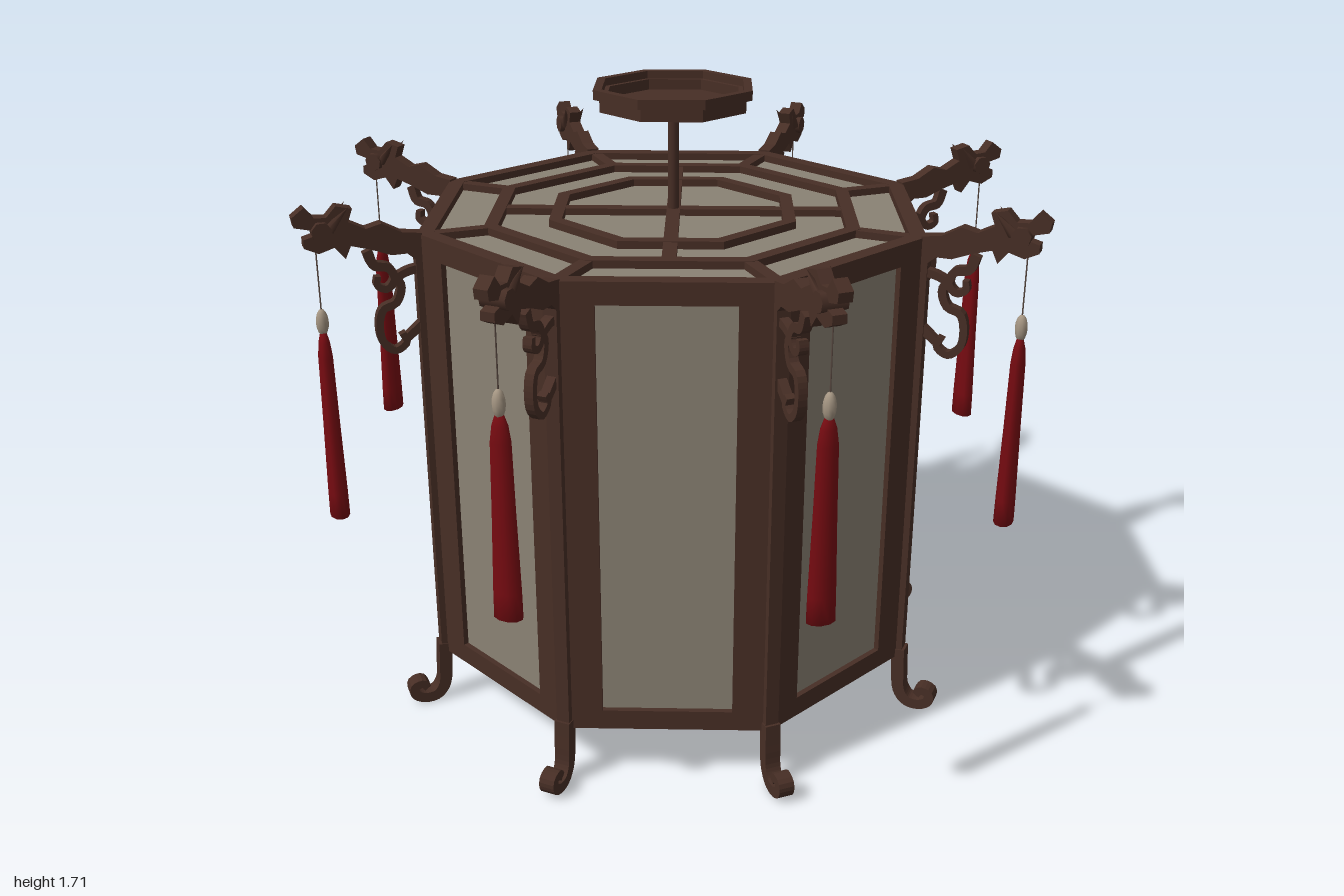
import * as THREE from 'three';

const mat = (name, color, side = THREE.FrontSide) => {
  const m = new THREE.MeshStandardMaterial({ color, side });
  m.name = name;
  return m;
};
const STEP = Math.PI / 4;
const TURN = THREE.MathUtils.degToRad(10); // angle of the first corner
const R = 0.7, BOTTOM = 0.155, TOP = 1.38;

// Eight-sided outline, optionally with an eight-sided hole
function octagon(r, hole) {
  const pts = (q) => Array.from({ length: 8 }, (_, i) =>
    new THREE.Vector2(q * Math.cos(TURN + i * STEP), q * Math.sin(TURN + i * STEP)));
  const s = new THREE.Shape(pts(r));
  if (hole) s.holes.push(new THREE.Path(pts(hole)));
  return s;
}

// Horizontal slab from y0 to y1
function slab(shape, y0, y1) {
  const g = new THREE.ExtrudeGeometry(shape, { depth: y1 - y0, bevelEnabled: false });
  return g.rotateX(-Math.PI / 2).translate(0, y0, 0);
}

// Upright cut-out, centred on its own thickness
function cutout(shape, thick) {
  return new THREE.ExtrudeGeometry(shape, { depth: thick, bevelEnabled: false })
    .translate(0, 0, -thick / 2);
}

// Curved strip that follows a path and tapers from w0 to w1
function ribbon(points, w0, w1, thick, n = 28) {
  const curve = new THREE.CatmullRomCurve3(points.map(([x, y]) => new THREE.Vector3(x, y, 0)));
  const left = [], right = [];
  for (let i = 0; i <= n; i++) {
    const p = curve.getPoint(i / n), t = curve.getTangent(i / n);
    const h = THREE.MathUtils.lerp(w0, w1, i / n) / 2;
    left.push(new THREE.Vector2(p.x - t.y * h, p.y + t.x * h));
    right.unshift(new THREE.Vector2(p.x + t.y * h, p.y - t.x * h));
  }
  return cutout(new THREE.Shape([...left, ...right]), thick);
}

export function createModel() {
  const model = new THREE.Group();
  model.name = 'palaceLantern';
  const wood = mat('dark wood', 0x472e25);
  const paper = mat('paper panel', 0x8a8274);
  const red = mat('tassel red', 0x760b11);
  const bone = mat('bead', 0xa59683);
  const thread = mat('thread', 0x5a4a42);

  const add = (parent, name, geo, m) => {
    const mesh = new THREE.Mesh(geo, m);
    mesh.name = name;
    parent.add(mesh);
    return mesh;
  };

  // Top and bottom lattices with their paper sheets
  for (const [name, y0, y1, p0, p1] of [
    ['top', TOP - 0.035, TOP, TOP - 0.03, TOP - 0.02],
    ['bottom', BOTTOM, BOTTOM + 0.035, BOTTOM + 0.02, BOTTOM + 0.03],
  ]) {
    const lattice = new THREE.Group();
    lattice.name = name + 'Lattice';
    model.add(lattice);
    add(lattice, name + 'Sheet', slab(octagon(0.68), p0, p1), paper);
    for (const [r, w] of [[R, 0.045], [0.525, 0.038], [0.35, 0.036]])
      add(lattice, name + 'Ring', slab(octagon(r, r - w), y0, y1), wood);
    for (let i = 0; i < 8; i++) {
      const bar = add(lattice, name + 'CornerBar',
        new THREE.BoxGeometry(0.18, y1 - y0 - 0.002, 0.034).translate(0.59, (y0 + y1) / 2, 0), wood);
      bar.rotation.y = TURN + i * STEP;
    }
    for (let i = 0; i < 2; i++) {
      const bar = add(lattice, name + 'CrossBar',
        new THREE.BoxGeometry(0.94, y1 - y0 - 0.004, 0.036).translate(0, (y0 + y1) / 2, 0), wood);
      bar.rotation.y = TURN + STEP / 2 + i * Math.PI / 2;
    }
  }

  // Side frames with recessed paper
  const apothem = R * Math.cos(STEP / 2), half = R * Math.sin(STEP / 2);
  const rect = (C, w, y0, y1) => new C([[-w, y0], [w, y0], [w, y1], [-w, y1]]
    .map(([x, y]) => new THREE.Vector2(x, y)));
  const frame = rect(THREE.Shape, half, BOTTOM, TOP);
  frame.holes.push(rect(THREE.Path, 0.168, 0.21, 1.322));
  const frameGeo = new THREE.ExtrudeGeometry(frame, { depth: 0.03, bevelEnabled: false })
    .translate(0, 0, apothem - 0.03);
  const sheetGeo = new THREE.BoxGeometry(0.35, 1.13, 0.008).translate(0, 0.766, apothem - 0.019);

  // Corner profiles: x is the distance from the centre
  const postGeo = new THREE.BoxGeometry(0.035, TOP - BOTTOM, 0.036)
    .translate(R - 0.008, (TOP + BOTTOM) / 2, 0);
  const footGeo = ribbon([[0.698, 0.18], [0.702, 0.11], [0.708, 0.05], [0.73, 0.02], [0.765, 0.016],
    [0.793, 0.032], [0.794, 0.055], [0.77, 0.062], [0.758, 0.046]], 0.038, 0.022, 0.042);
  const headGeo = cutout(new THREE.Shape([
    [0.69, 1.3], [0.73, 1.335], [0.77, 1.335], [0.82, 1.355], [0.87, 1.37], [0.885, 1.338],
    [0.91, 1.37], [0.95, 1.358], [0.985, 1.375], [0.985, 1.397], [0.945, 1.408], [0.965, 1.42],
    [1.005, 1.43], [1.009, 1.455], [0.978, 1.478], [0.955, 1.45], [0.925, 1.448], [0.9, 1.475],
    [0.86, 1.465], [0.872, 1.432], [0.83, 1.41], [0.79, 1.42], [0.74, 1.392], [0.69, 1.385],
  ].map(([x, y]) => new THREE.Vector2(x, y))), 0.036);
  const cheekGeo = new THREE.CylinderGeometry(0.026, 0.026, 0.066, 7)
    .rotateX(Math.PI / 2).translate(0.94, 1.415, 0);
  const hornGeo = new THREE.ConeGeometry(0.016, 0.075, 5).rotateZ(0.7);
  const scrolls = [
    // long fret hanging from the arm beside the post
    ribbon([[0.83, 1.35], [0.815, 1.31], [0.78, 1.3], [0.765, 1.27], [0.785, 1.245], [0.81, 1.255],
      [0.808, 1.28]], 0.026, 0.016, 0.024),
    ribbon([[0.768, 1.28], [0.75, 1.25], [0.765, 1.205], [0.8, 1.19], [0.812, 1.15], [0.805, 1.1],
      [0.775, 1.075], [0.745, 1.095], [0.755, 1.12]], 0.022, 0.018, 0.024),
    ribbon([[0.7, 1.14], [0.725, 1.12], [0.75, 1.1]], 0.024, 0.02, 0.024, 6),
    ribbon([[0.7, 1.29], [0.73, 1.285], [0.765, 1.27]], 0.022, 0.02, 0.024, 6),
  ];

  // Hanging tassel, flattened along the arm
  const tasselGeo = new THREE.LatheGeometry([[0, 0.63], [0.038, 0.63], [0.037, 0.7], [0.031, 0.9],
    [0.027, 1.08], [0.021, 1.12], [0.012, 1.145], [0, 1.15]]
    .map(([x, y]) => new THREE.Vector2(x, y)), 10).scale(0.68, 1, 1);
  const beadGeo = new THREE.SphereGeometry(0.018, 10, 8).scale(0.9, 2, 0.9);
  const threadGeo = new THREE.CylinderGeometry(0.002, 0.002, 0.18, 5);

  for (let i = 0; i < 8; i++) {
    const side = new THREE.Group();
    side.name = 'sidePanel';
    side.rotation.y = TURN + STEP / 2 + Math.PI / 2 + i * STEP;
    add(side, 'sideFrame', frameGeo, wood);
    add(side, 'sideSheet', sheetGeo, paper);

    const corner = new THREE.Group();
    corner.name = 'corner';
    corner.rotation.y = TURN + i * STEP;
    add(corner, 'post', postGeo, wood);
    add(corner, 'scrollFoot', footGeo, wood);
    add(corner, 'carvedArm', headGeo, wood);
    add(corner, 'cheek', cheekGeo, wood);
    for (const s of [-1, 1]) {
      const horn = add(corner, 'horn', hornGeo, wood);
      horn.position.set(0.895, 1.445, s * 0.022);
      horn.rotation.x = s * 0.25;
    }
    scrolls.forEach((g) => add(corner, 'scrollBracket', g, wood));
    add(corner, 'tassel', tasselGeo, red).position.x = 0.955;
    add(corner, 'bead', beadGeo, bone).position.set(0.955, 1.173, 0);
    add(corner, 'thread', threadGeo, thread).position.set(0.955, 1.285, 0);
    model.add(side, corner);
  }

  // Hanging rod and shallow ceiling dish
  add(model, 'rod', new THREE.CylinderGeometry(0.015, 0.015, 0.32, 12).translate(0, 1.51, 0), wood);
  add(model, 'dishFloor', slab(octagon(0.2), 1.65, 1.662), wood);
  add(model, 'dishWall', slab(octagon(0.205, 0.185), 1.651, 1.69), wood);
  add(model, 'dishRim', slab(octagon(0.222, 0.198), 1.685, 1.71), wood);
  return model;
}
